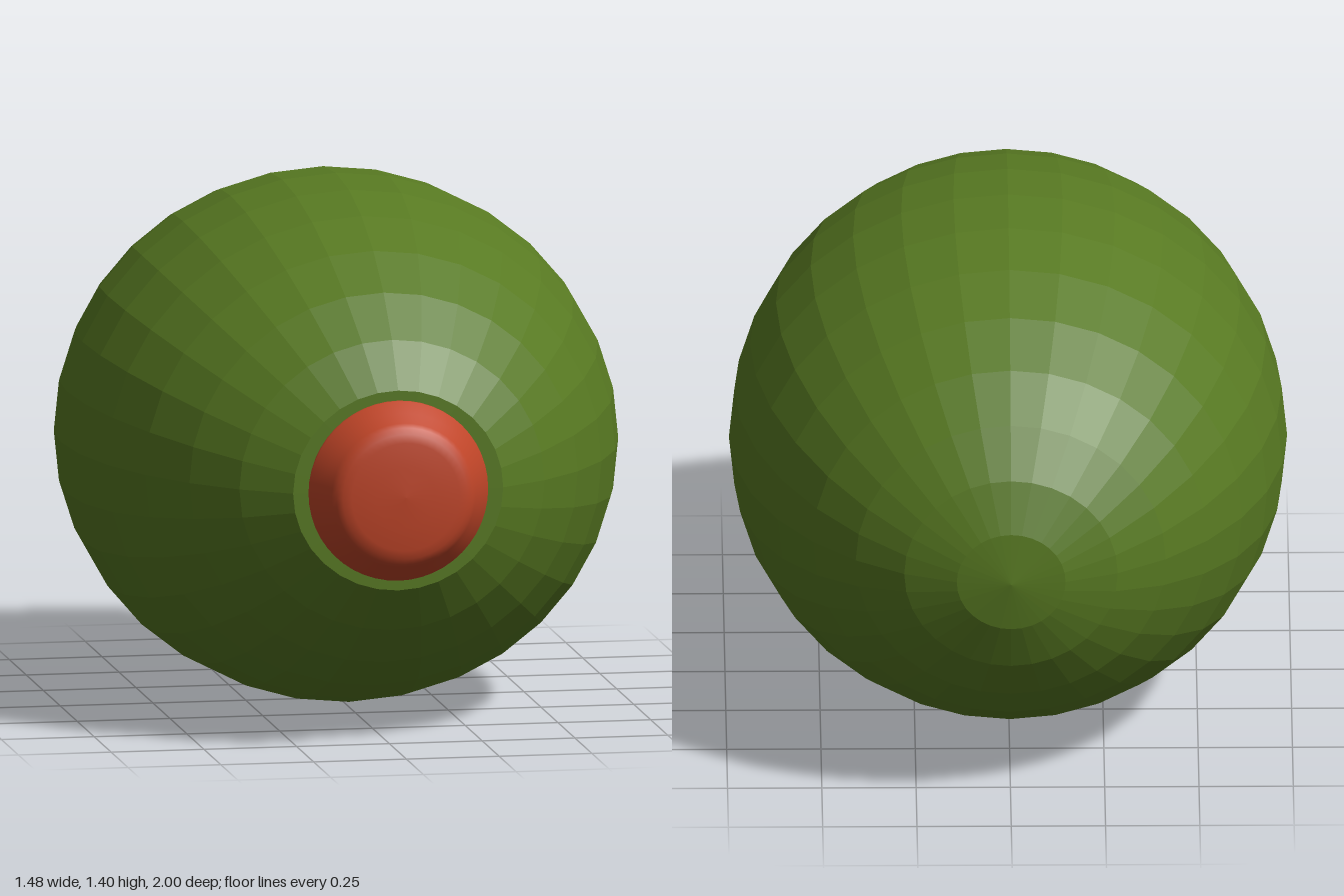
import * as THREE from 'three';

const CENTRE_Y = 0.705;

// Lathe along z: points are [radius, z], listed from back to front
function latheZ(name, points, segments, color, flatShading) {
  const profile = points.map(([r, z]) => new THREE.Vector2(r, z));
  const geometry = new THREE.LatheGeometry(profile, segments).rotateX(Math.PI / 2);
  const material = new THREE.MeshStandardMaterial({ color, flatShading });
  const mesh = new THREE.Mesh(geometry, material);
  mesh.name = name;
  mesh.position.y = CENTRE_Y;
  return mesh;
}

export function createModel() {
  const group = new THREE.Group();
  group.name = 'stuffedOlive';

  // Faceted body: ellipsoid rings, slightly longer in front, cut flat at the stuffing
  const profile = [];
  for (let i = -8; i <= 6; i++) {
    const a = (i * Math.PI) / 16;
    const length = i < 0 ? 0.96 : 0.995;
    profile.push([i === -8 ? 0 : Math.cos(a), -0.04 + length * Math.sin(a)]);
  }
  profile.push([0, 0.885]);
  const body = latheZ('oliveBody', profile, 32, 0x587a22, true);
  body.scale.set(0.74, 0.702, 1);
  group.add(body);

  // Smooth round stuffing: sloped side, rounded rim, nearly flat face
  const stuffing = [
    [0.242, 0.88], [0.241, 0.888], [0.215, 0.925], [0.194, 0.96], [0.184, 0.974],
    [0.168, 0.984], [0.145, 0.989], [0.08, 0.995], [0, 0.998],
  ];
  group.add(latheZ('pimentoStuffing', stuffing, 48, 0xc04528, false));

  return group;
}
